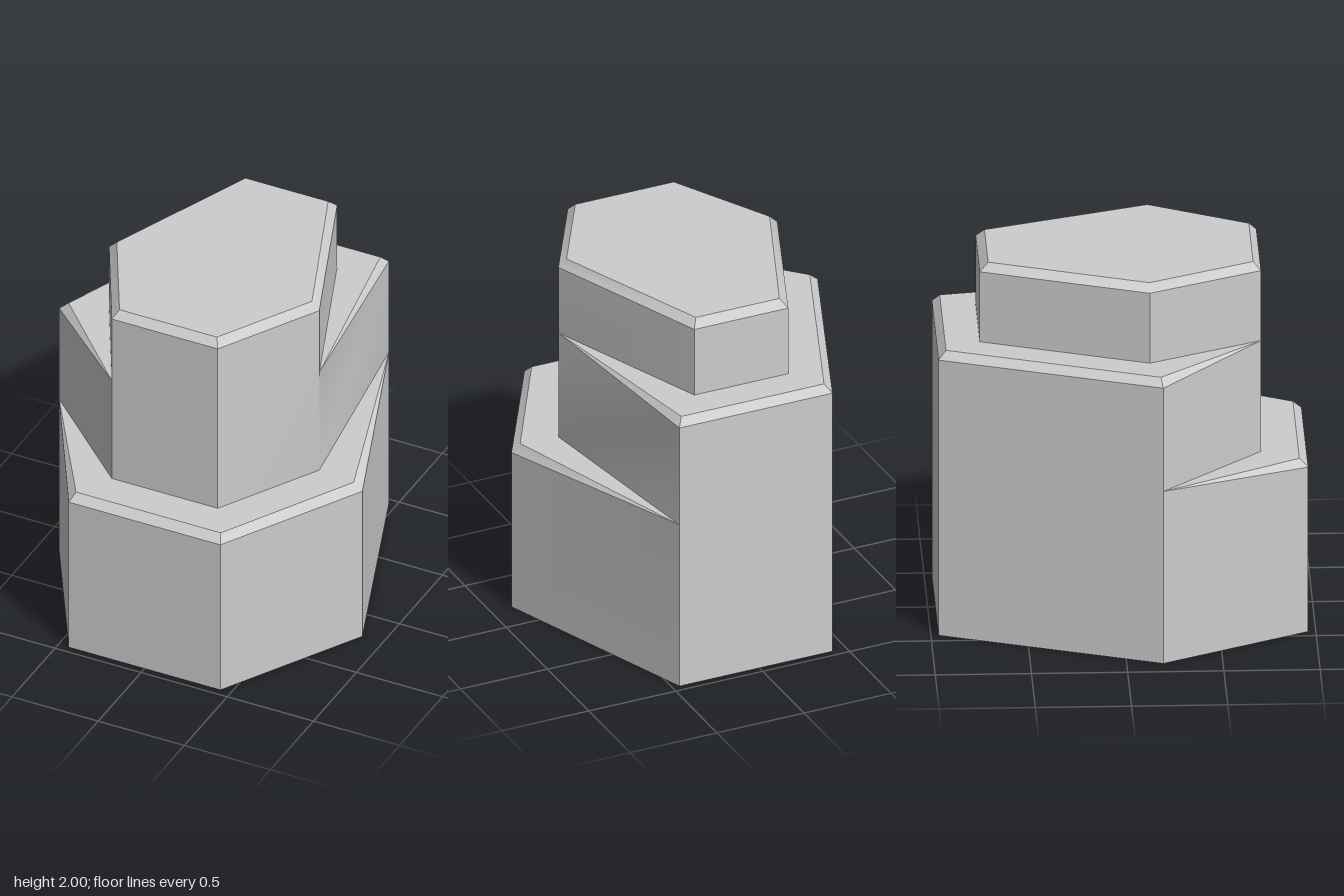
import * as THREE from 'three';
import { toCreasedNormals } from 'three/addons/utils/BufferGeometryUtils.js';

const STEP1 = 0.955, STEP2 = 1.57, TOP = 2, CHAMFER = 0.042;

// Corners are [x, z] or, where the chamfer is open, [x, z, insetX, insetZ].
// All outlines run counter-clockwise seen from above.
const baseOutline = [
  [-0.88, 0.19], [-0.44, 0.96, -0.42, 0.915], [0.44, 0.96, 0.42, 0.915],
  [0.88, 0.19, 0.83, 0.19], [0.46, -0.96], [-0.42, -0.96],
];
const middleOutline = [
  [-0.88, 0.19, -0.83, 0.18], [-0.31, 0.72], [0.305, 0.72],
  [0.62, 0.17], [0.46, -0.96, 0.43, -0.92], [-0.42, -0.96, -0.39, -0.92],
];
const topOutline = [
  [-0.62, 0.13, -0.575, 0.13], [-0.31, 0.72, -0.285, 0.68], [0.305, 0.72, 0.28, 0.68],
  [0.62, 0.17, 0.575, 0.165], [0.27, -0.74, 0.24, -0.695], [-0.27, -0.74, -0.24, -0.695],
];

export function createModel() {
  const positions = [];

  function tri(a, b, c) {
    const [A, B, C] = [a, b, c].map((p) => new THREE.Vector3(...p));
    const area = B.clone().sub(A).cross(C.clone().sub(A)).length();
    if (area > 1e-6) positions.push(...a, ...b, ...c);
  }
  function quad(a, b, c, d) {
    tri(a, b, c);
    tri(a, c, d);
  }

  // One tier: walls, chamfer and top face; wallFoot gives each wall's lower
  // height, null leaves the wall to the tier above
  function addTier(outline, wallFoot, height) {
    const shoulder = outline.map((p) => [p[0], p.length > 2 ? height - CHAMFER : height, p[1]]);
    const rim = outline.map((p) => (p.length > 2 ? [p[2], height, p[3]] : [p[0], height, p[1]]));
    const n = outline.length;
    for (let i = 0; i < n; i++) {
      const j = (i + 1) % n;
      const foot = wallFoot[i];
      if (foot !== null) {
        quad([outline[i][0], foot, outline[i][1]], [outline[j][0], foot, outline[j][1]], shoulder[j], shoulder[i]);
      }
      quad(shoulder[i], shoulder[j], rim[j], rim[i]);
    }
    for (let i = 1; i < n - 1; i++) tri(rim[0], rim[i], rim[i + 1]);
  }

  addTier(baseOutline, [0, 0, 0, 0, 0, 0], STEP1);
  addTier(middleOutline, [STEP1, null, null, STEP1, STEP1, STEP1], STEP2);
  // The two front walls of the top tier run down to the lower step
  addTier(topOutline, [STEP2, STEP1, STEP1, STEP2, STEP2, STEP2], TOP);

  // Underside
  const floor = baseOutline.map((p) => [p[0], 0, p[1]]);
  for (let i = 1; i < floor.length - 1; i++) tri(floor[0], floor[i + 1], floor[i]);

  const geometry = new THREE.BufferGeometry();
  geometry.setAttribute('position', new THREE.Float32BufferAttribute(positions, 3));

  const stone = new THREE.MeshStandardMaterial({ color: 0xcccccc });
  stone.name = 'light grey stone';
  const mesh = new THREE.Mesh(toCreasedNormals(geometry, THREE.MathUtils.degToRad(39)), stone);
  mesh.name = 'steppedColumn';

  const group = new THREE.Group();
  group.name = 'steppedHexagonalRock';
  group.add(mesh);
  return group;
}
